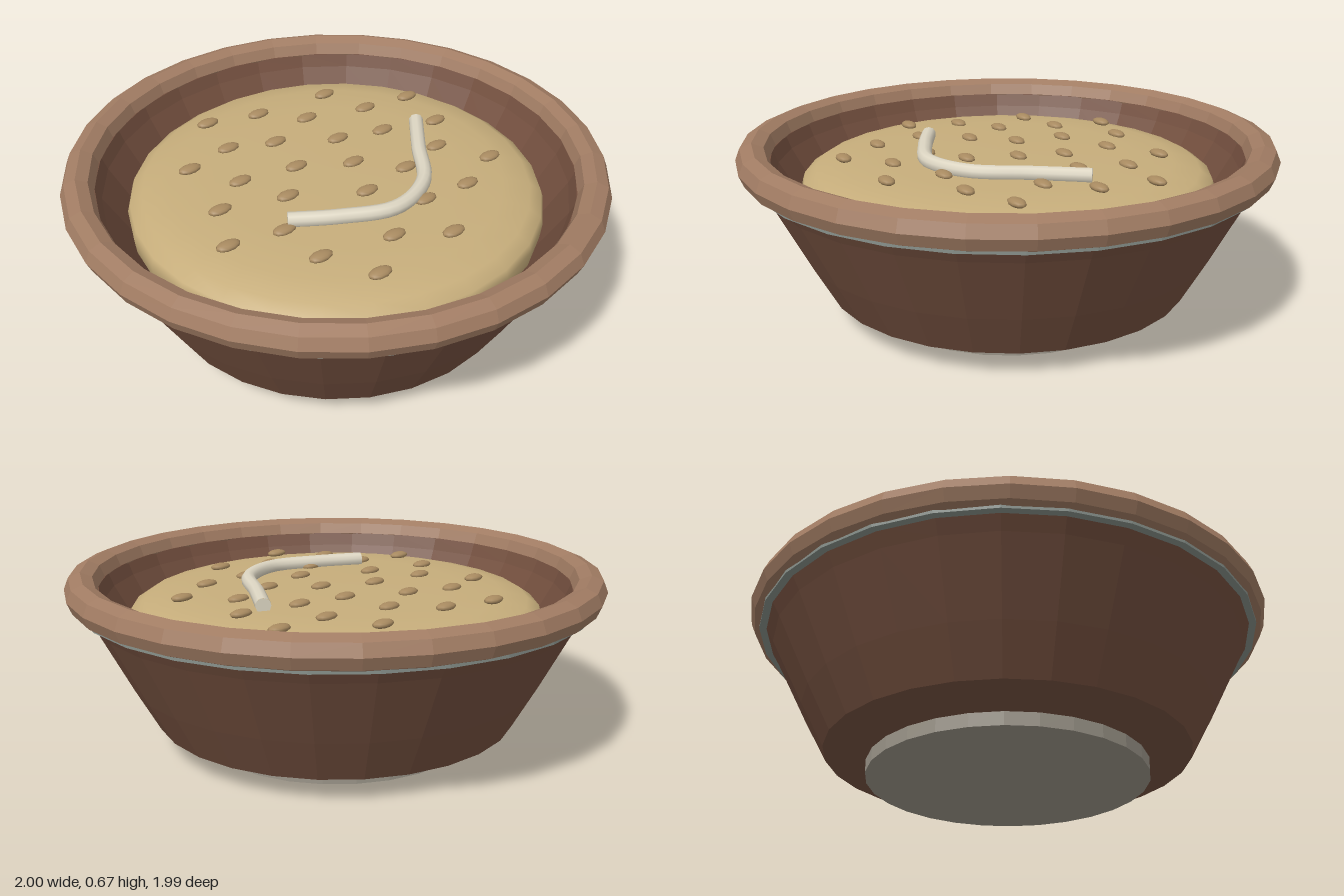
import * as THREE from 'three';

const SIDES = 28;

function material(color, flatShading = true) {
  return new THREE.MeshStandardMaterial({ color, flatShading });
}

function addMesh(parent, name, geometry, mat) {
  const mesh = new THREE.Mesh(geometry, mat);
  mesh.name = name;
  parent.add(mesh);
  return mesh;
}

// Profile points are [radius, height], running up the outside and then inward
function lathe(profile, sides = SIDES) {
  return new THREE.LatheGeometry(profile.map(([r, y]) => new THREE.Vector2(r, y)), sides);
}

export function createModel() {
  const model = new THREE.Group();
  model.name = 'bowl of food';

  // Foot under the bowl
  const foot = addMesh(model, 'foot', new THREE.CylinderGeometry(0.53, 0.53, 0.06, SIDES), material(0x9a9488));
  foot.position.y = 0.03;

  // Bowl wall: underside, flared outside, lip, inside and floor
  addMesh(model, 'bowl', lathe([
    [0, 0.05], [0.53, 0.05], [0.69, 0.09], [0.78, 0.255], [0.905, 0.5], [0.94, 0.56],
    [0.93, 0.61], [0.88, 0.61], [0.86, 0.56], [0.78, 0.42], [0.66, 0.2], [0, 0.16],
  ]), material(0x74503f));

  // Thin glaze band just below the rim
  addMesh(model, 'glazeBand', lathe([
    [0.876, 0.548], [0.96, 0.548], [0.96, 0.58], [0.94, 0.6], [0.876, 0.6], [0.876, 0.548],
  ]), material(0x87908a));

  // Rolled rim
  const rim = addMesh(model, 'rim', new THREE.TorusGeometry(0.94, 0.06, 8, 30), material(0xa17c63));
  rim.rotation.x = -Math.PI / 2;
  rim.position.y = 0.61;

  // Gently domed food filling
  addMesh(model, 'filling', lathe([
    [0.74, 0.38], [0.77, 0.43], [0.775, 0.49], [0.765, 0.52], [0.72, 0.55],
    [0.62, 0.574], [0.45, 0.584], [0, 0.588],
  ]), material(0xc6ad7b, false));

  // Grains scattered over the filling, as [x, z]
  const grains = [
    [-0.22, -0.57], [-0.02, -0.51], [0.29, -0.49], [-0.44, -0.32], [-0.25, -0.36], [0.12, -0.37],
    [-0.08, -0.29], [0.36, -0.3], [0.56, -0.28], [-0.33, -0.14], [0.13, -0.17], [-0.11, -0.1],
    [0.31, -0.12], [0.53, -0.06], [-0.48, -0.03], [-0.24, 0.04], [0.08, 0], [0.41, 0.09],
    [-0.56, 0.16], [-0.36, 0.2], [0.01, 0.18], [0.22, 0.14], [-0.14, 0.27], [0.53, 0.26],
    [-0.34, 0.39], [0.15, 0.34], [0.34, 0.35], [-0.07, 0.44], [-0.23, 0.57], [0.11, 0.54],
  ];
  const grainGroup = new THREE.Group();
  grainGroup.name = 'grains';
  model.add(grainGroup);
  const grainGeometry = new THREE.SphereGeometry(1, 10, 8);
  const grainMaterial = material(0xa88a60, false);
  for (const [x, z] of grains) {
    const grain = addMesh(grainGroup, 'grain', grainGeometry, grainMaterial);
    grain.scale.set(0.046, 0.015, 0.027);
    const r = Math.hypot(x, z);
    grain.position.set(x, 0.592 - 0.02 * r * r, z);
  }

  // Curved strand lying on top, with flat cut ends
  const path = new THREE.CatmullRomCurve3([
    [-0.33, 0.175], [-0.17, 0.265], [0.02, 0.335], [0.2, 0.265], [0.33, 0.08], [0.45, -0.085],
  ].map(([x, z]) => new THREE.Vector3(x, 0.602, z)));
  const strand = new THREE.Group();
  strand.name = 'strand';
  model.add(strand);
  const strandMaterial = material(0xdcd5c2, false);
  addMesh(strand, 'strandBody', new THREE.TubeGeometry(path, 32, 0.028, 10), strandMaterial);
  for (const [t, sign] of [[0, -1], [1, 1]]) {
    const cap = addMesh(strand, 'strandEnd', new THREE.CircleGeometry(0.028, 10), strandMaterial);
    cap.position.copy(path.getPoint(t));
    const outward = path.getTangent(t).multiplyScalar(sign);
    cap.quaternion.setFromUnitVectors(new THREE.Vector3(0, 0, 1), outward);
  }

  return model;
}
